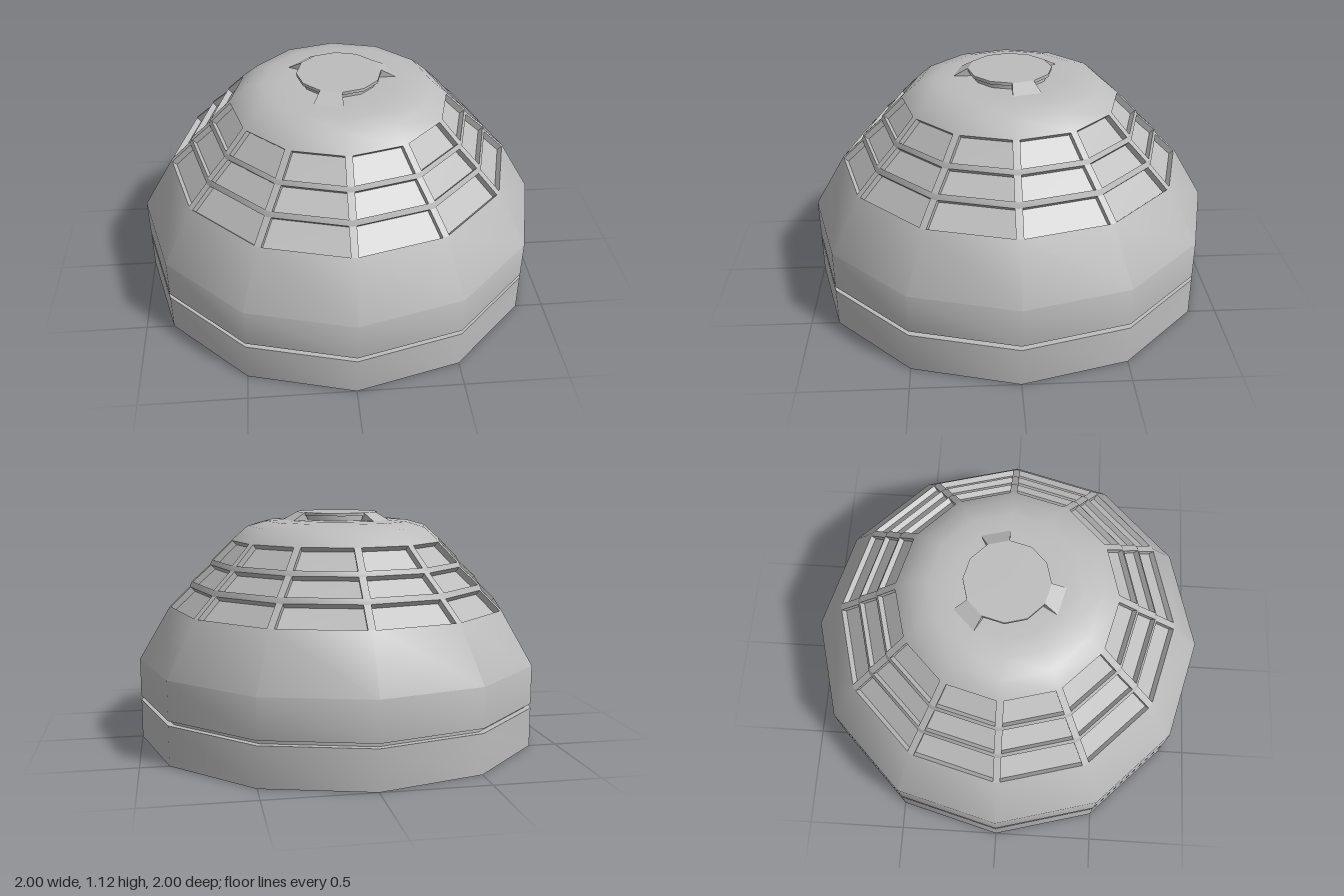
import * as THREE from 'three';
import { toCreasedNormals } from 'three/addons/utils/BufferGeometryUtils.js';

const SIDES = 12;
const STEP = (Math.PI * 2) / SIDES;

// Point at a given radius, height and angle (angle 0 faces +z)
const polar = (r, y, a) => new THREE.Vector3(r * Math.sin(a), y, r * Math.cos(a));

// Geometry from quads; smooth ones take a rounded dome normal
function quadGeometry(quads) {
  const pos = [], smooth = [];
  for (const { c, round } of quads) {
    for (const i of [0, 1, 2, 0, 2, 3]) {
      pos.push(c[i].x, c[i].y, c[i].z);
      smooth.push(round);
    }
  }
  const g = new THREE.BufferGeometry();
  g.setAttribute('position', new THREE.Float32BufferAttribute(pos, 3));
  g.computeVertexNormals();
  const p = g.attributes.position, n = new THREE.Vector3();
  smooth.forEach((round, i) => {
    if (!round) return;
    n.set(p.getX(i), 0, p.getZ(i)).normalize().setY(1).normalize();
    g.attributes.normal.setXYZ(i, n.x, n.y, n.z);
  });
  return g;
}

export function createModel() {
  const model = new THREE.Group();
  model.name = 'dome';
  const grey = new THREE.MeshStandardMaterial({ color: 0xbcbcbc, side: THREE.DoubleSide });
  grey.name = 'grey';

  const add = (name, geometry) => {
    const mesh = new THREE.Mesh(geometry, grey);
    mesh.name = name;
    model.add(mesh);
  };
  const ring = (name, points) => add(name, toCreasedNormals(
    new THREE.LatheGeometry(points.map(([r, y]) => new THREE.Vector2(r, y)), SIDES), 0.62));

  // Lower shell: base band, recessed groove and skirt
  ring('lowerShell', [[1, 0], [1, 0.19], [0.97, 0.19], [0.97, 0.212], [1, 0.212], [1, 0.4], [0.845, 0.662]]);

  // Three rows of sunken windows, with bars between them
  const rows = [
    [[0.845, 0.662], [0.745, 0.757]],
    [[0.734, 0.784], [0.642, 0.866]],
    [[0.631, 0.89], [0.535, 0.985]],
  ];
  ring('lowerBar', [rows[0][1], rows[1][0]]);
  ring('upperBar', [rows[1][1], rows[2][0]]);

  const MULLION = 0.018, DEPTH = 0.03;
  rows.forEach(([lo, hi], row) => {
    const frames = [], panes = [];
    for (let i = 0; i < SIDES; i++) {
      const a = i * STEP, b = a + STEP;
      const outer = [polar(...lo, a), polar(...lo, b), polar(...hi, b), polar(...hi, a)];
      const inset = (p, q) => p.clone().add(q.clone().sub(p).setLength(MULLION));
      const hole = [
        inset(outer[0], outer[1]), inset(outer[1], outer[0]),
        inset(outer[2], outer[3]), inset(outer[3], outer[2]),
      ];
      const inward = outer[1].clone().sub(outer[0])
        .cross(outer[3].clone().sub(outer[0])).setLength(-DEPTH);
      const back = hole.map((p) => p.clone().add(inward));
      // mullion halves on either side of the opening
      frames.push({ c: [outer[0], hole[0], hole[3], outer[3]], round: true });
      frames.push({ c: [hole[1], outer[1], outer[2], hole[2]], round: true });
      // reveal walls
      for (let k = 0; k < 4; k++) {
        const m = (k + 1) % 4;
        frames.push({ c: [hole[k], hole[m], back[m], back[k]], round: false });
      }
      panes.push({ c: back, round: false });
    }
    add(`windowFrames${row + 1}`, quadGeometry(frames));
    add(`windowPanes${row + 1}`, quadGeometry(panes));
  });

  // Upper dome and the raised cap with its undercut wall
  ring('upperDome', [[0.535, 0.985], [0.455, 1.055], [0.365, 1.08], [0.275, 1.086], [0.185, 1.086]]);
  ring('cap', [[0.185, 1.086], [0.185, 1.11], [0.205, 1.11], [0.205, 1.125], [0, 1.125]]);

  // Three sloping bridges joining the cap to the dome
  const bridges = [];
  for (let k = 0; k < 3; k++) {
    const a = -STEP + k * 4 * STEP, b = a + STEP;
    const section = (t) => [polar(0.275, 1.086, t), polar(0.205, 1.125, t), polar(0.185, 1.086, t)];
    const [a0, a1, a2] = section(a), [b0, b1, b2] = section(b);
    bridges.push({ c: [a0, b0, b1, a1], round: false });
    bridges.push({ c: [a0, a1, a2, a2], round: false });
    bridges.push({ c: [b0, b2, b1, b1], round: false });
  }
  add('capBridges', quadGeometry(bridges));

  return model;
}
